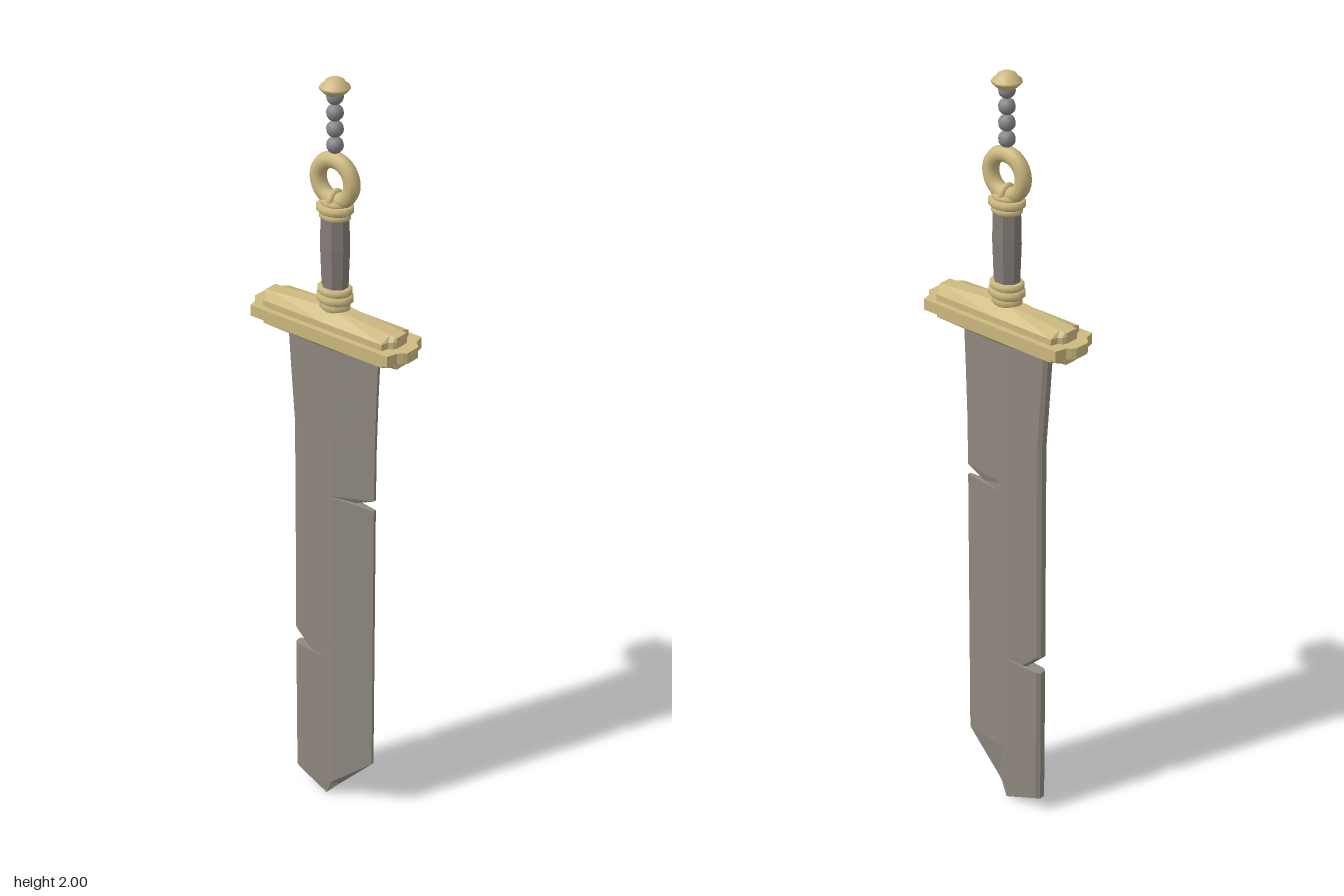
import * as THREE from 'three';

const gold = new THREE.MeshStandardMaterial({ name: 'brass', color: 0xcdb980 });
const steel = new THREE.MeshStandardMaterial({ name: 'blade steel', color: 0x8f8880 });
const leather = new THREE.MeshStandardMaterial({ name: 'grip grey', color: 0x857d78 });
const iron = new THREE.MeshStandardMaterial({ name: 'bead iron', color: 0x85858a });

// Flat-shaded skin over a list of rings, closed at both ends
function loft(rings) {
  const n = rings[0].length, last = rings.length - 1, pos = [];
  const tri = (a, b, c) => pos.push(...a, ...b, ...c);
  for (let i = 0; i < last; i++) {
    for (let j = 0; j < n; j++) {
      const k = (j + 1) % n;
      tri(rings[i][j], rings[i][k], rings[i + 1][k]);
      tri(rings[i][j], rings[i + 1][k], rings[i + 1][j]);
    }
  }
  for (let j = 1; j < n - 1; j++) {
    tri(rings[0][0], rings[0][j + 1], rings[0][j]);
    tri(rings[last][0], rings[last][j], rings[last][j + 1]);
  }
  const g = new THREE.BufferGeometry();
  g.setAttribute('position', new THREE.Float32BufferAttribute(pos, 3));
  g.computeVertexNormals();
  return g;
}

// Blade: blunt bevelled spine on -x, ridge in the middle, keen edge on +x
function bladeGeometry() {
  const rows = [ // y, spine x, edge x
    [0, -0.03, -0.015], [0.04, -0.122, 0.022], [0.15, -0.122, 0.125],
    [0.43, -0.122, 0.125], [0.431, -0.075, 0.125], [0.475, -0.122, 0.125],
    [0.912, -0.12, 0.125], [0.914, -0.12, 0.07], [0.94, -0.12, 0.125],
    [1.08, -0.12, 0.126], [1.22, -0.13, 0.13], [1.34, -0.138, 0.135],
  ];
  return loft(rows.map(([y, l, r]) => {
    const bevel = Math.min(l + 0.01, r);
    const ridge = THREE.MathUtils.clamp(0, bevel, r);
    const half = [[l, 0.008], [bevel, 0.015], [ridge, 0.018], [r, 0.004]];
    return [
      ...half.map(([x, z]) => [x, y, z]),
      ...half.reverse().map(([x, z]) => [x, y, -z]),
    ];
  }));
}

// Guard tier along x; ends lists [x, half depth] from the middle outwards
function tierGeometry(ends, section) {
  const all = [...ends.slice(1).reverse().map(([x, w]) => [-x, w]), ...ends];
  return loft(all.map(([x, w]) => section(Math.abs(x), w).map(([y, z]) => [x, y, z])));
}

function roofSection(x, w) {
  const t = Math.min(0.018, w), top = 0.056 - 0.075 * x, mid = Math.min(0.03, top);
  return [[top, -t], [top, t], [mid, w], [0, w], [0, -w], [mid, -w]];
}

function plateSection(x, w) {
  const h = 0.014;
  return [[h, -w], [h, w], [-h, w], [-h, -w]];
}

export function createModel() {
  const model = new THREE.Group();
  model.name = 'sword';
  const add = (name, geometry, material, y = 0, parent = model) => {
    const mesh = new THREE.Mesh(geometry, material);
    mesh.name = name;
    mesh.position.y = y;
    parent.add(mesh);
    return mesh;
  };
  const lathe = (points, sides) =>
    new THREE.LatheGeometry(points.map(([r, y]) => new THREE.Vector2(r, y)), sides);

  add('blade', bladeGeometry(), steel);

  // Cross guard: wide plate between two mirrored roofed tiers
  const guard = new THREE.Group();
  guard.name = 'guard';
  guard.position.y = 1.374;
  model.add(guard);
  const wide = [[0, 0.065], [0.208, 0.065], [0.215, 0.037], [0.226, 0.028], [0.233, 0.02]];
  const narrow = [[0, 0.05], [0.18, 0.05], [0.185, 0.032], [0.195, 0.026], [0.2, 0.018]];
  add('guardPlate', tierGeometry(wide, plateSection), gold, 0, guard);
  add('guardUpper', tierGeometry(narrow, roofSection), gold, 0, guard);
  add('guardLower', tierGeometry(narrow, roofSection), gold, 0, guard).rotation.x = Math.PI;

  // Eight-sided grip, slightly swollen in the middle
  const gripShape = lathe([[0.034, 1.46], [0.035, 1.5], [0.038, 1.58], [0.036, 1.67]], 8).toNonIndexed();
  gripShape.rotateY(Math.PI / 8);
  gripShape.computeVertexNormals();
  add('grip', gripShape, leather).scale.z = 0.85;

  // Collars at both ends of the grip
  const collar = (name, y, bands) => {
    const g = new THREE.Group();
    g.name = name;
    g.scale.z = 0.82;
    model.add(g);
    bands.forEach(([dy, r, h]) => add('band', lathe([
      [0, -h], [r - 0.006, -h], [r, -h * 0.5], [r, h * 0.5], [r - 0.006, h], [0, h],
    ], 16), gold, y + dy, g));
  };
  collar('lowerCollar', 1.453, [[-0.02, 0.04, 0.012], [0, 0.048, 0.011], [0.019, 0.045, 0.01]]);
  collar('upperCollar', 1.676, [[-0.013, 0.04, 0.009], [0.005, 0.048, 0.01], [0.018, 0.036, 0.008]]);

  // Ring and the clasp that holds it
  add('ring', new THREE.TorusGeometry(0.05, 0.02, 10, 28), gold, 1.749);
  const clasp = add('clasp', new THREE.TorusGeometry(0.02, 0.009, 8, 16), gold, 1.699);
  clasp.rotation.y = Math.PI / 2;
  add('claspKnob', new THREE.SphereGeometry(0.022, 14, 10), gold, 1.699);

  // Bead string
  for (let i = 0; i < 4; i++) {
    add('bead', new THREE.SphereGeometry(0.0205, 12, 10), iron, 1.836 + i * 0.0395);
  }

  // Finial
  add('finial', lathe([
    [0, 1.95], [0.014, 1.954], [0.026, 1.964], [0.036, 1.974], [0.035, 1.979],
    [0.027, 1.985], [0.022, 1.993], [0.012, 1.998], [0, 2],
  ], 14), gold);

  return model;
}
